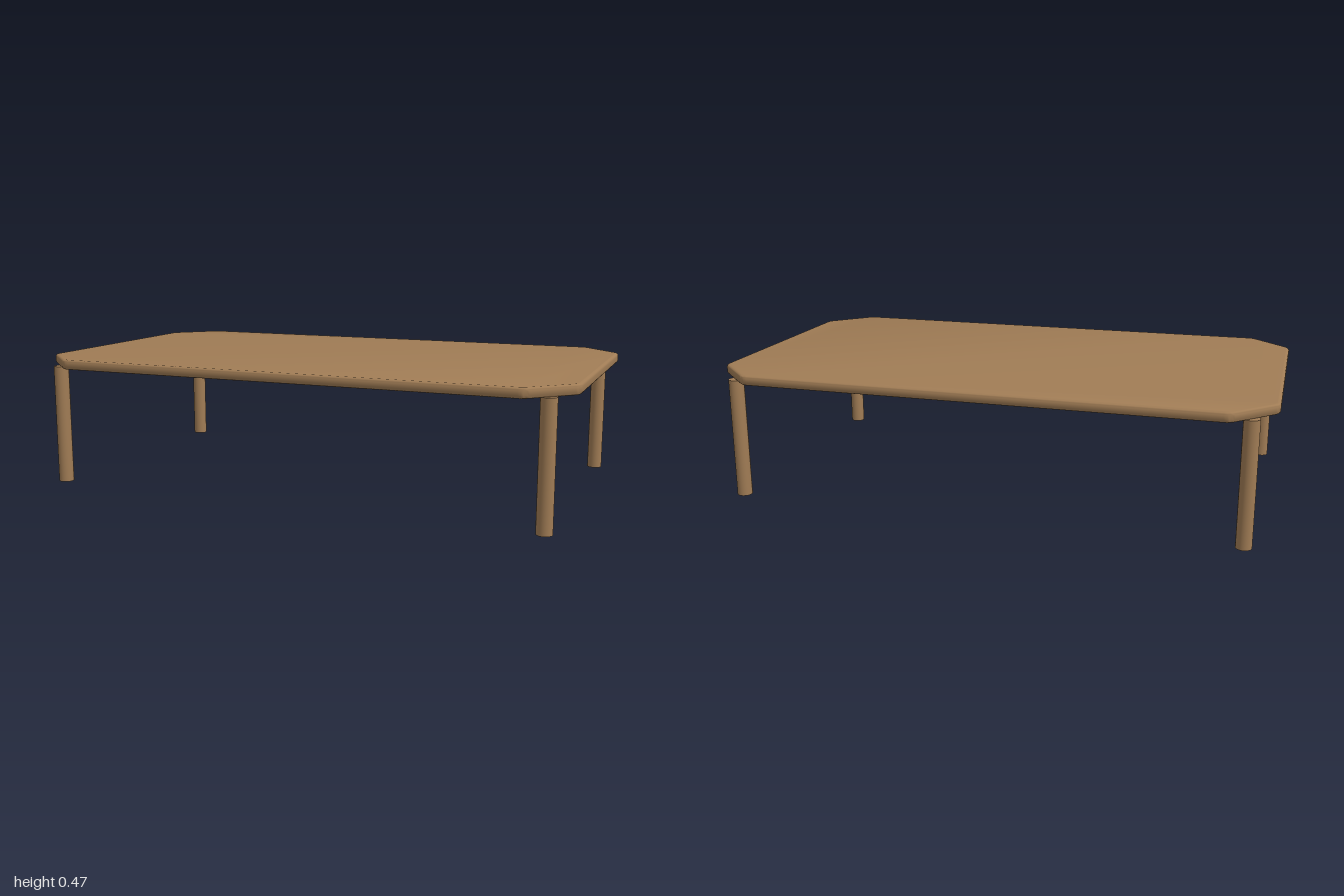
import * as THREE from 'three';
import { toCreasedNormals } from 'three/addons/utils/BufferGeometryUtils.js';

const TOP_Y = 0.475, THICK = 0.036, HALF_X = 1, HALF_Z = 0.578, CUT = 0.148, BEVEL = 0.01;

// Polygon outline with every corner slightly softened
function softPolygon(points, r) {
  const shape = new THREE.Shape();
  points.forEach((p, i) => {
    const prev = points[(i + points.length - 1) % points.length];
    const next = points[(i + 1) % points.length];
    const a = p.clone().add(prev.clone().sub(p).setLength(r));
    const b = p.clone().add(next.clone().sub(p).setLength(r));
    if (i === 0) shape.moveTo(a.x, a.y);
    else shape.lineTo(a.x, a.y);
    shape.quadraticCurveTo(p.x, p.y, b.x, b.y);
  });
  shape.closePath();
  return shape;
}

export function createModel() {
  const table = new THREE.Group();
  table.name = 'coffeeTable';
  const wood = new THREE.MeshStandardMaterial({ color: 0xa07c55 });
  wood.name = 'wood';

  // Table top: rectangle with cut corners and a rounded rim
  const cx = HALF_X - CUT, cz = HALF_Z - CUT;
  const outline = [
    [HALF_X, -cz], [HALF_X, cz], [cx, HALF_Z], [-cx, HALF_Z],
    [-HALF_X, cz], [-HALF_X, -cz], [-cx, -HALF_Z], [cx, -HALF_Z],
  ].map(([x, z]) => new THREE.Vector2(x, z));
  const slab = new THREE.ExtrudeGeometry(softPolygon(outline, 0.02), {
    depth: THICK - 2 * BEVEL, curveSegments: 4,
    bevelEnabled: true, bevelSize: BEVEL, bevelThickness: BEVEL, bevelOffset: -BEVEL, bevelSegments: 4,
  });
  slab.rotateX(-Math.PI / 2);
  slab.translate(0, TOP_Y - THICK + BEVEL, 0);
  const top = new THREE.Mesh(toCreasedNormals(slab, 0.6), wood);
  top.name = 'tableTop';
  table.add(top);

  // Four round legs at the cut corners
  const legHeight = TOP_Y - THICK + 0.002;
  const legGeometry = new THREE.CylinderGeometry(0.0275, 0.0275, legHeight, 32);
  for (const [end, sz] of [['front', 1], ['back', -1]]) {
    for (const [side, sx] of [['Left', 1], ['Right', -1]]) {
      const leg = new THREE.Mesh(legGeometry, wood);
      leg.name = `${end}${side}Leg`;
      leg.position.set(sx * 0.915, legHeight / 2, sz * 0.506);
      table.add(leg);
    }
  }
  return table;
}
